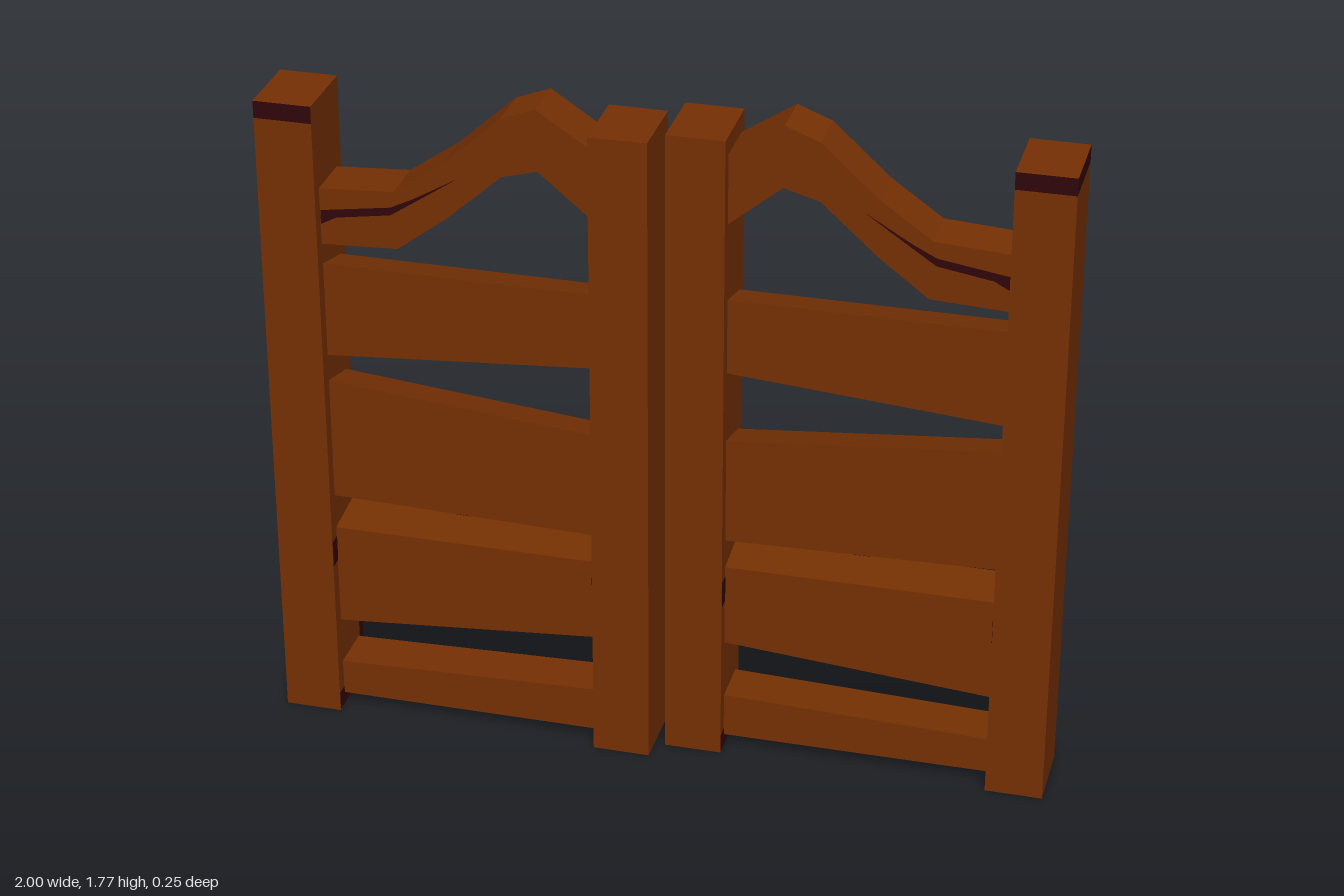
import * as THREE from 'three';

const wood = new THREE.MeshStandardMaterial({ color: 0x763003 });
wood.name = 'brown wood';
const stain = new THREE.MeshStandardMaterial({ color: 0x300509 });
stain.name = 'dark stain';

const H = 1.725;      // post height
const POST_W = 0.147;
const POST_D = 0.196;
const BOARD_D = 0.127;

function box(name, w, h, d, x, y, z, material) {
  const mesh = new THREE.Mesh(new THREE.BoxGeometry(w, h, d), material);
  mesh.position.set(x, y, z);
  mesh.name = name;
  return mesh;
}

// Extruded outline centred on its own height and depth; s mirrors it in x
function slab(name, points, depth, s, material) {
  const ys = points.map((p) => p[1]);
  const mid = (Math.min(...ys) + Math.max(...ys)) / 2;
  const shape = new THREE.Shape(points.map(([x, y]) => new THREE.Vector2(x * s, y - mid)));
  const geometry = new THREE.ExtrudeGeometry(shape, { depth, bevelEnabled: false });
  geometry.translate(0, 0, -depth / 2);
  const mesh = new THREE.Mesh(geometry, material);
  mesh.position.y = mid;
  mesh.name = name;
  return mesh;
}

// Lowers the back (drop > 0) or front (drop < 0) edge of a board's top
function slopeTop(geometry, drop) {
  const p = geometry.attributes.position;
  for (let i = 0; i < p.count; i++) {
    if (p.getY(i) > 0 && p.getZ(i) * drop < 0) p.setY(i, p.getY(i) - Math.abs(drop));
  }
  geometry.computeVertexNormals();
}

// Post with a stained underside and stained patches on the side facing the boards;
// inward is the x direction of that side
function post(name, x, inward, isOuter) {
  const group = new THREE.Group();
  group.name = name;
  const capH = isOuter ? 0.045 : 0;
  const bodyH = H - capH;
  group.add(box('postBody', POST_W, bodyH, POST_D, 0, bodyH / 2, 0,
    [wood, wood, wood, stain, wood, wood]));
  for (const [y, h] of [[0.475, 0.07], [0.028, 0.05]]) {
    group.add(box('stainPatch', 0.002, h, POST_D - 0.004, inward * POST_W / 2, y, 0, stain));
  }
  if (isOuter) {
    const sides = [stain, stain, wood, wood, stain, stain];
    sides[inward > 0 ? 0 : 1] = wood;
    group.add(box('postCap', POST_W, capH, POST_D, 0, H - capH / 2, 0, sides));
    // Stain running down the back below the cap
    const run = [[-0.07, 1.682], [-0.07, 1.665], [0, 1.66], [0.045, 1.635], [0.07, 1.6], [0.07, 1.682]];
    const drip = slab('stainRun', run, 0.002, inward, stain);
    drip.position.z = -POST_D / 2;
    group.add(drip);
    group.add(box('stainEdge', 0.002, 0.36, 0.025, inward * POST_W / 2, 0.27, -0.084, stain));
  }
  group.position.x = x;
  return group;
}

// Boards: outer bottom, outer top, inner bottom, inner top, drop of the top, stained underside
const boards = [
  [1.035, 1.29, 1.09, 1.29, 0.033, false],
  [0.632, 0.965, 0.615, 0.9, 0.033, true],
  [0.258, 0.553, 0.315, 0.553, -0.016, true],
  [0.035, 0.132, 0.035, 0.155, 0, false],
];

const railOutline = [
  [-0.86, 1.345], [-0.655, 1.355], [-0.53, 1.45], [-0.385, 1.58], [-0.295, 1.605], [-0.155, 1.488],
  [-0.155, 1.673], [-0.297, 1.766], [-0.385, 1.732], [-0.53, 1.6], [-0.66, 1.508], [-0.86, 1.495],
];

const streakOutline = [
  [-0.85, 1.4], [-0.81, 1.422], [-0.67, 1.445], [-0.6, 1.492], [-0.5, 1.56],
  [-0.61, 1.495], [-0.67, 1.465], [-0.85, 1.437],
];

// One swinging leaf, s = -1 gives the mirrored one
function leaf(name, s, swing) {
  const group = new THREE.Group();
  group.name = name;
  group.add(post('outerPost', -0.925 * s, s, true));
  group.add(post('innerPost', -0.088 * s, -s, false));
  for (const [ob, ot, ib, it, drop, stained] of boards) {
    const outline = [[-0.86, ob], [-0.155, ib], [-0.155, it], [-0.86, ot]];
    const board = slab('board', outline, BOARD_D, s, wood);
    slopeTop(board.geometry, drop);
    group.add(board);
    if (stained) {
      const bottom = (x) => ob + (ib - ob) * (x + 0.86) / 0.705;
      const [a, b] = [-0.53, -0.49];
      const band = [[a, bottom(a) - 0.002], [b, bottom(b) - 0.002], [b, bottom(b) + 0.002], [a, bottom(a) + 0.002]];
      group.add(slab('undersideStain', band, BOARD_D - 0.004, s, stain));
    }
  }
  group.add(slab('curvedTopRail', railOutline, 0.132, s, wood));
  const streak = slab('railStain', streakOutline, 0.003, s, stain);
  streak.position.z = 0.066;
  group.add(streak);

  // Each leaf stands slightly ajar, turned about its outer post
  const hinge = new THREE.Group();
  hinge.name = name + 'Hinge';
  group.position.x = 0.925 * s;
  hinge.add(group);
  hinge.position.set(-0.925 * s, 0, -0.003);
  hinge.rotation.y = swing;
  return hinge;
}

export function createModel() {
  const model = new THREE.Group();
  model.name = 'swingDoors';
  model.add(leaf('rightLeaf', 1, -0.034), leaf('leftLeaf', -1, -0.029));
  return model;
}
